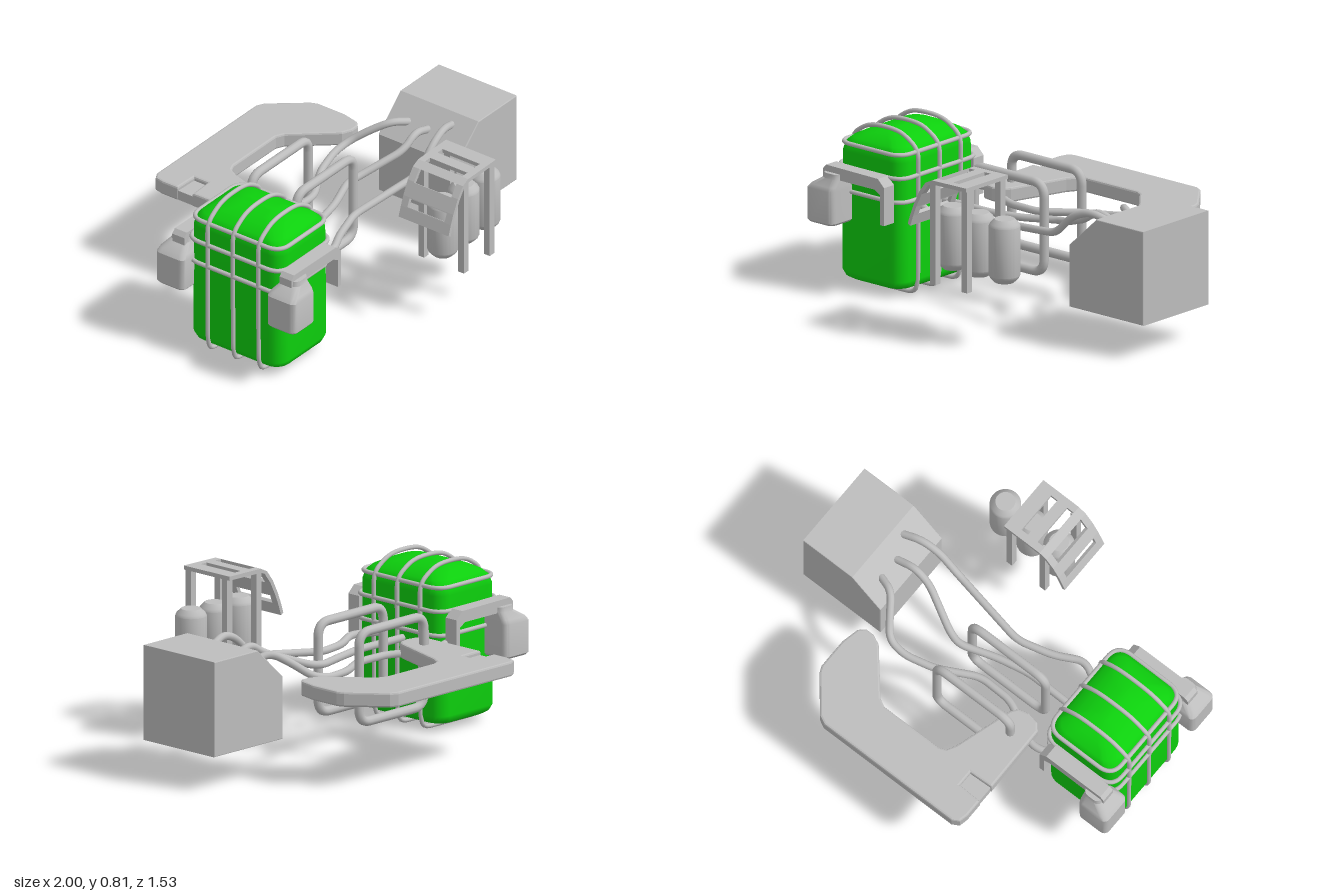
import * as THREE from 'three';
import { toCreasedNormals } from 'three/addons/utils/BufferGeometryUtils.js';

const grey = new THREE.MeshStandardMaterial({ color: 0xbdbdbd });
grey.name = 'grey metal';
const green = new THREE.MeshStandardMaterial({ color: 0x0dd00d });
green.name = 'green tank';

const V = (x, y, z) => new THREE.Vector3(x, y, z);

function add(parent, name, geometry, material = grey) {
  const mesh = new THREE.Mesh(geometry, material);
  mesh.name = name;
  parent.add(mesh);
  return mesh;
}

function box(parent, name, x0, x1, y0, y1, z0, z1) {
  const m = add(parent, name, new THREE.BoxGeometry(x1 - x0, y1 - y0, z1 - z0));
  m.position.set((x0 + x1) / 2, (y0 + y1) / 2, (z0 + z1) / 2);
  return m;
}

// Front-facing outline extruded from z0 to z1
function slab(points, z0, z1, bevel = 0) {
  const shape = new THREE.Shape(points.map(p => new THREE.Vector2(p[0], p[1])));
  const g = new THREE.ExtrudeGeometry(shape, {
    depth: z1 - z0 - 2 * bevel, bevelEnabled: bevel > 0, bevelSize: bevel,
    bevelThickness: bevel, bevelOffset: -bevel, bevelSegments: 2,
  });
  return g.translate(0, 0, z0 + bevel);
}

// Tube along straight runs with rounded corners
function pipe(points, radius, corner, closed = false) {
  const path = new THREE.CurvePath(), n = points.length;
  const corners = points.map((p, i) => {
    if (!closed && (i === 0 || i === n - 1)) return [p, p];
    return [points[(i + n - 1) % n], points[(i + 1) % n]].map(q => {
      const d = q.clone().sub(p), len = d.length();
      return p.clone().addScaledVector(d, Math.min(corner, len * 0.45) / len);
    });
  });
  for (let i = 0; i < n; i++) {
    const [a, b] = corners[i];
    if (a !== b) path.add(new THREE.QuadraticBezierCurve3(a, points[i], b));
    if (closed || i < n - 1) path.add(new THREE.LineCurve3(b, corners[(i + 1) % n][0]));
  }
  return new THREE.TubeGeometry(path, 120, radius, 10, closed);
}

// Stack of rounded rectangles; each ring is [y, inset, xShift]
function loft(rings, cx, cz, hx, hz, r) {
  const pos = [], idx = [], steps = 6, n = steps * 4;
  const all = [[rings[0][0], 9, rings[0][2]], ...rings, [rings.at(-1)[0], 9, rings.at(-1)[2]]];
  for (const [y, inset, dx = 0] of all) {
    const a = Math.max(hx - inset, 0), b = Math.max(hz - inset, 0), c = Math.min(r, a, b);
    for (let k = 0; k < n; k++) {
      const q = Math.floor(k / steps);
      const t = (q + (k % steps) / (steps - 1)) * Math.PI / 2;
      const sx = q === 0 || q === 3 ? 1 : -1, sz = q < 2 ? 1 : -1;
      pos.push(cx + dx + sx * (a - c) + c * Math.cos(t), y, cz + sz * (b - c) + c * Math.sin(t));
    }
  }
  for (let i = 0; i < all.length - 1; i++) {
    for (let k = 0; k < n; k++) {
      const a = i * n + k, b = i * n + (k + 1) % n;
      idx.push(a, a + n, b, b, a + n, b + n);
    }
  }
  const g = new THREE.BufferGeometry();
  g.setAttribute('position', new THREE.Float32BufferAttribute(pos, 3));
  g.setIndex(idx);
  return g;
}

export function createModel() {
  const model = new THREE.Group();
  model.name = 'tankAssembly';

  // Domed green tank
  const tank = loft([[0.045, 0.06], [0.05, 0.035], [0.065, 0.012], [0.095, 0], [0.4, 0], [0.69, 0.002],
    [0.73, 0.012], [0.755, 0.035], [0.78, 0.08], [0.797, 0.13], [0.806, 0.18]],
    -0.722, 0.092, 0.204, 0.277, 0.07);
  tank.computeVertexNormals();
  add(model, 'tank', tank, green);

  // Cage hoops over and around the tank
  const hoop = [[-0.91, 0.025], [-0.535, 0.025], [-0.515, 0.09], [-0.512, 0.74],
    [-0.6, 0.8], [-0.67, 0.815], [-0.775, 0.815], [-0.845, 0.8], [-0.933, 0.74], [-0.93, 0.09]];
  for (const z of [0.245, 0.092, -0.06]) {
    add(model, 'verticalHoop', pipe(hoop.map(p => V(p[0], p[1], z)), 0.011, 0.05, true));
  }
  for (const [y, s] of [[0.73, 0], [0.617, 0.012], [0.498, 0.012]]) {
    const x0 = -0.92 - s, x1 = -0.524 + s, z0 = -0.178 - s, z1 = 0.362 + s;
    add(model, 'horizontalHoop',
      pipe([V(x0, y, z0), V(x1, y, z0), V(x1, y, z1), V(x0, y, z1)], 0.011, 0.08, true));
  }

  // Side brackets with a canister, mirrored about the tank
  const arm = [[-0.94, 0.57], [-0.61, 0.57], [-0.575, 0.55], [-0.575, 0.4], [-0.55, 0.4],
    [-0.55, 0.59], [-0.59, 0.628], [-0.92, 0.632], [-0.94, 0.61]];
  for (const side of [1, -1]) {
    const cz = 0.092 + side * 0.333;
    const bracket = new THREE.Group();
    bracket.name = side > 0 ? 'frontBracket' : 'backBracket';
    const armZ = 0.092 + side * 0.322;
    add(bracket, 'arm', slab(arm, armZ - 0.036, armZ + 0.036));
    const can = loft([[0.35, 0.008], [0.36, 0], [0.52, 0], [0.54, 0.008, 0.008], [0.575, 0.035, 0.033],
      [0.6, 0.038, 0.035]], -0.914, cz, 0.086, 0.086, 0.03);
    add(bracket, 'canister', toCreasedNormals(can, 0.6));
    model.add(bracket);
  }

  // Two upright rounded frames
  for (const z of [-0.242, 0.028]) {
    add(model, 'uprightFrame', pipe([V(-0.35, 0.202, z), V(0.098, 0.202, z),
      V(0.098, 0.648, z), V(-0.35, 0.648, z)], 0.023, 0.07, true));
  }

  // Flat hooked plate with a notched edge, drawn as x and z
  const hook = [[-0.455, -0.70], [-0.445, -0.745], [-0.41, -0.765], [0.37, -0.765], [0.41, -0.745],
    [0.55, -0.575], [0.565, -0.54], [0.565, -0.38], [0.545, -0.29], [0.515, -0.262], [0.47, -0.262],
    [0.42, -0.285], [0.24, -0.495], [0.2, -0.515], [-0.13, -0.515], [-0.165, -0.5], [-0.19, -0.455],
    [-0.28, -0.16], [-0.305, -0.125], [-0.36, -0.11], [-0.42, -0.122], [-0.45, -0.155],
    [-0.455, -0.515], [-0.33, -0.52], [-0.33, -0.6], [-0.455, -0.605]];
  const plate = slab(hook.map(([x, z]) => [x, -z]), 0.432, 0.507, 0.01).rotateX(-Math.PI / 2);
  add(model, 'hookPlate', plate);
  box(model, 'hookNotchFloor', -0.45, -0.32, 0.435, 0.485, -0.605, -0.515);

  // Large housing with a sloped shoulder
  add(model, 'housing', slab([[0.522, 0.19], [0.995, 0.19], [0.995, 0.66], [0.695, 0.66],
    [0.522, 0.5]], -0.145, 0.325, 0.004));

  // Bent hoses from the tank to the housing
  const hoses = [
    [V(-0.58, 0.46, -0.18), V(-0.47, 0.46, -0.22), V(-0.36, 0.45, -0.17), V(-0.24, 0.45, -0.1),
      V(-0.05, 0.45, -0.095), V(0.14, 0.46, -0.2), V(0.3, 0.47, -0.242), V(0.4, 0.49, -0.23),
      V(0.46, 0.55, -0.15), V(0.52, 0.6, -0.065), V(0.61, 0.57, -0.03)],
    [V(-0.54, 0.45, 0.06), V(-0.22, 0.45, 0.065), V(-0.05, 0.45, 0.03), V(0.13, 0.46, -0.033),
      V(0.2, 0.47, -0.015), V(0.41, 0.55, 0.09), V(0.5, 0.61, 0.095), V(0.61, 0.57, 0.085)],
    [V(-0.54, 0.45, 0.2), V(-0.39, 0.45, 0.28), V(-0.25, 0.44, 0.21), V(-0.07, 0.45, 0.16),
      V(0.35, 0.5, 0.23), V(0.46, 0.61, 0.228), V(0.56, 0.645, 0.215), V(0.665, 0.61, 0.19)],
  ];
  for (const points of hoses) add(model, 'hose', pipe(points, 0.019, 0.05));

  // Row of three bevelled cylinders
  const outline = [[0, 0.35], [0.048, 0.35], [0.07, 0.372], [0.076, 0.385], [0.076, 0.63],
    [0.07, 0.643], [0.048, 0.665], [0, 0.665]].map(p => new THREE.Vector2(p[0], p[1]));
  for (const x of [0.037, 0.202, 0.365]) {
    const g = toCreasedNormals(new THREE.LatheGeometry(outline, 24), 0.45);
    add(model, 'cylinder', g).position.set(x, 0, 0.613);
  }

  // Slotted canopy: two side rails joined by cross bars that follow one curve
  const curve = [[-0.118, 0.577], [-0.1, 0.63], [-0.08, 0.68], [-0.045, 0.75], [-0.005, 0.803],
    [0.037, 0.823], [0.255, 0.826]];
  const heightAt = x => {
    const i = Math.max(1, curve.findIndex(p => p[0] >= x));
    const [a, b] = [curve[i - 1], curve[i]];
    return a[1] + (b[1] - a[1]) * (x - a[0]) / (b[0] - a[0]);
  };
  const strip = (x0, x1, z0, z1) => {
    const top = [[x0, heightAt(x0)], ...curve.filter(p => p[0] > x0 && p[0] < x1), [x1, heightAt(x1)]];
    const under = top.map(([x, y]) => x > 0.03 ? [x, y - 0.02] : [x + 0.016, y - 0.01]);
    return slab([...under, ...top.reverse()], z0, z1);
  };
  const canopy = new THREE.Group();
  canopy.name = 'canopy';
  add(canopy, 'canopyRail', strip(-0.118, 0.255, 0.465, 0.503));
  add(canopy, 'canopyRail', strip(-0.118, 0.255, 0.727, 0.765));
  for (const [x0, x1] of [[-0.118, -0.098], [-0.082, -0.047], [-0.005, 0.04], [0.08, 0.138], [0.178, 0.255]]) {
    add(canopy, 'canopyBar', strip(x0, x1, 0.503, 0.727));
  }
  for (const x of [0.016, 0.218]) {
    for (const z of [0.481, 0.721]) box(canopy, 'canopyPost', x, x + 0.036, 0.3, 0.808, z, z + 0.035);
  }
  model.add(canopy);

  return model;
}
